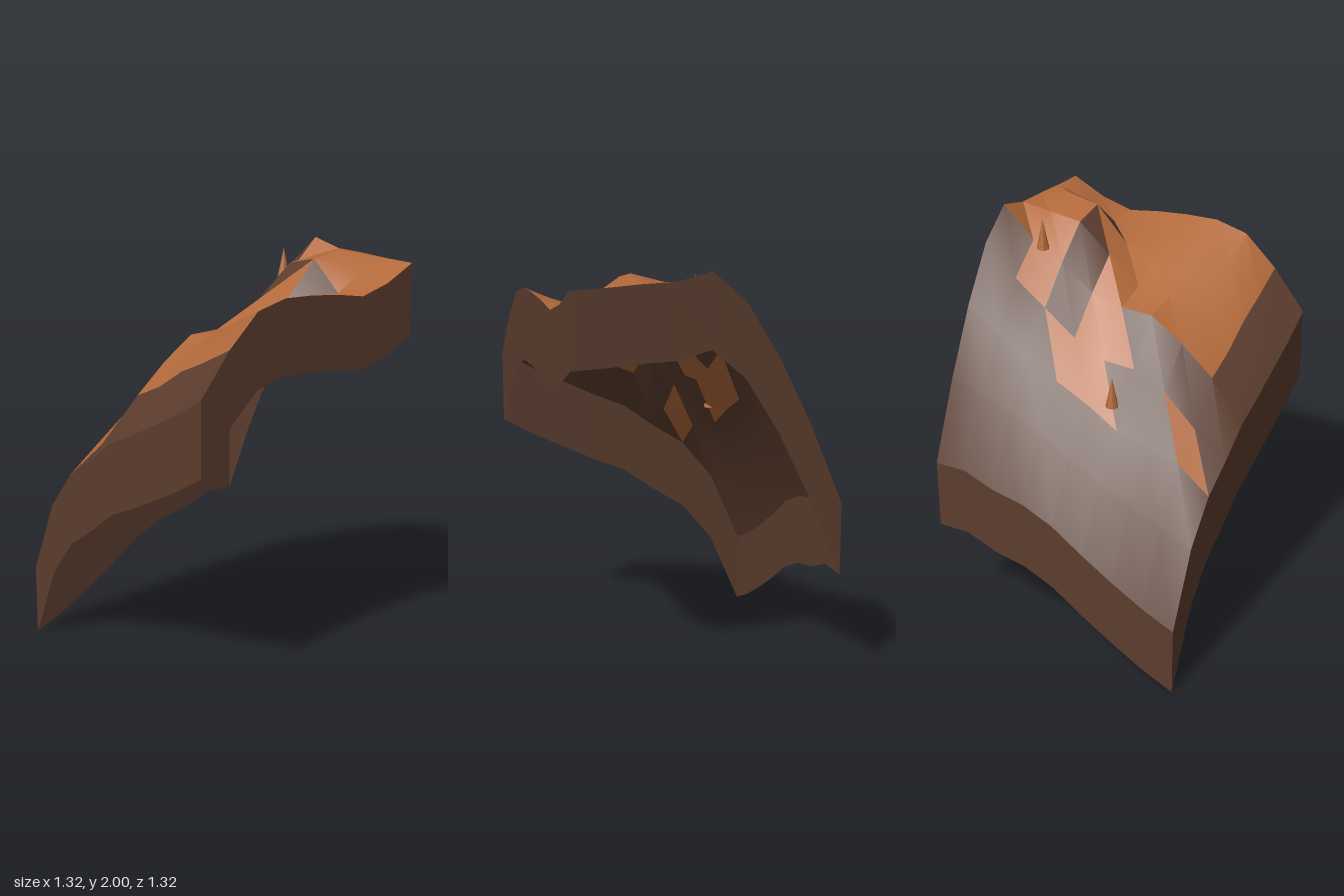
import * as THREE from 'three';
import { toCreasedNormals } from 'three/addons/utils/BufferGeometryUtils.js';

const CELLS = 8, HALF = 0.66, STEP = (2 * HALF) / CELLS, SKIRT = 0.353;

// Ground heights: rows run from back to front, columns from -x to +x.
const HEIGHTS = [
  [0.88, 1.27, 1.60, 1.86, 2.00, 1.96, 1.955, 1.945, 1.94],
  [0.885, 1.23, 1.49, 1.71, 1.85, 1.94, 1.985, 1.90, 1.86],
  [0.825, 1.17, 1.40, 1.59, 1.77, 1.92, 1.955, 1.81, 1.815],
  [0.795, 1.11, 1.31, 1.47, 1.64, 1.78, 1.785, 1.80, 1.84],
  [0.725, 1.02, 1.23, 1.39, 1.605, 1.65, 1.74, 1.80, 1.855],
  [0.615, 0.92, 1.13, 1.385, 1.60, 1.63, 1.71, 1.79, 1.86],
  [0.515, 0.86, 1.10, 1.31, 1.49, 1.55, 1.63, 1.72, 1.82],
  [0.425, 0.79, 1.045, 1.15, 1.35, 1.42, 1.52, 1.59, 1.67],
  [0.353, 0.723, 0.92, 1.025, 1.145, 1.215, 1.295, 1.375, 1.47],
];

// Sandy cells: F = whole cell, U = back-left half, L = front-right half.
const SAND = [
  '....FFFF',
  '...FFFFF',
  '..L..LLF',
  '..FFFFFF',
  '..UUFFFF',
  '....FFFF',
  '..L.FFFF',
  '..U.....',
];

const point = (i, j, drop = 0) => [-HALF + i * STEP, HEIGHTS[j][i] - drop, -HALF + j * STEP];

function geometryFrom(points) {
  const geo = new THREE.BufferGeometry();
  geo.setAttribute('position', new THREE.Float32BufferAttribute(points.flat(), 3));
  return geo;
}

// Terrain surface, sorted into rock and sand triangles
function groundGeometry() {
  const rock = [], sand = [];
  for (let j = 0; j < CELLS; j++) {
    for (let i = 0; i < CELLS; i++) {
      const a = point(i, j), b = point(i, j + 1), c = point(i + 1, j + 1), d = point(i + 1, j);
      const kind = SAND[j][i];
      ('FU'.includes(kind) ? sand : rock).push(a, b, d);
      ('FL'.includes(kind) ? sand : rock).push(b, c, d);
    }
  }
  const geo = toCreasedNormals(geometryFrom([...rock, ...sand]), 0.4);
  geo.clearGroups();
  geo.addGroup(0, rock.length, 0);
  geo.addGroup(rock.length, sand.length, 1);
  return geo;
}

// Vertical wall hanging from one edge; cell(k) gives the k-th grid corner
function wallGeometry(cell) {
  const pts = [];
  for (let k = 0; k < CELLS; k++) {
    const [p, q] = [cell(k), cell(k + 1)];
    const p0 = point(...p), q0 = point(...q), p1 = point(...p, SKIRT), q1 = point(...q, SKIRT);
    pts.push(p0, p1, q1, p0, q1, q0);
  }
  const geo = geometryFrom(pts);
  geo.computeVertexNormals();
  return geo;
}

export function createModel() {
  const model = new THREE.Group();
  model.name = 'terrainTile';

  const rock = new THREE.MeshStandardMaterial({ color: 0x5c3d2e, side: THREE.DoubleSide });
  rock.name = 'dark rock';
  const sand = new THREE.MeshStandardMaterial({ color: 0xb36a3b, side: THREE.DoubleSide });
  sand.name = 'orange sand';

  const add = (name, geo, material) => {
    const mesh = new THREE.Mesh(geo, material);
    mesh.name = name;
    model.add(mesh);
    return mesh;
  };

  add('ground', groundGeometry(), [rock, sand]);

  // Skirt walls around the open-bottomed tile
  add('frontWall', wallGeometry((k) => [k, CELLS]), rock);
  add('leftWall', wallGeometry((k) => [CELLS, CELLS - k]), rock);
  add('backWall', wallGeometry((k) => [CELLS - k, 0]), rock);
  add('rightWall', wallGeometry((k) => [0, k]), rock);

  // Small stone spikes
  for (const [x, y, z] of [[0, 1.815, -0.44], [-0.28, 1.225, 0.11]]) {
    const spike = new THREE.ConeGeometry(0.032, 0.15, 7).toNonIndexed();
    spike.computeVertexNormals();
    add('spike', spike, sand).position.set(x, y + 0.075, z);
  }
  return model;
}
